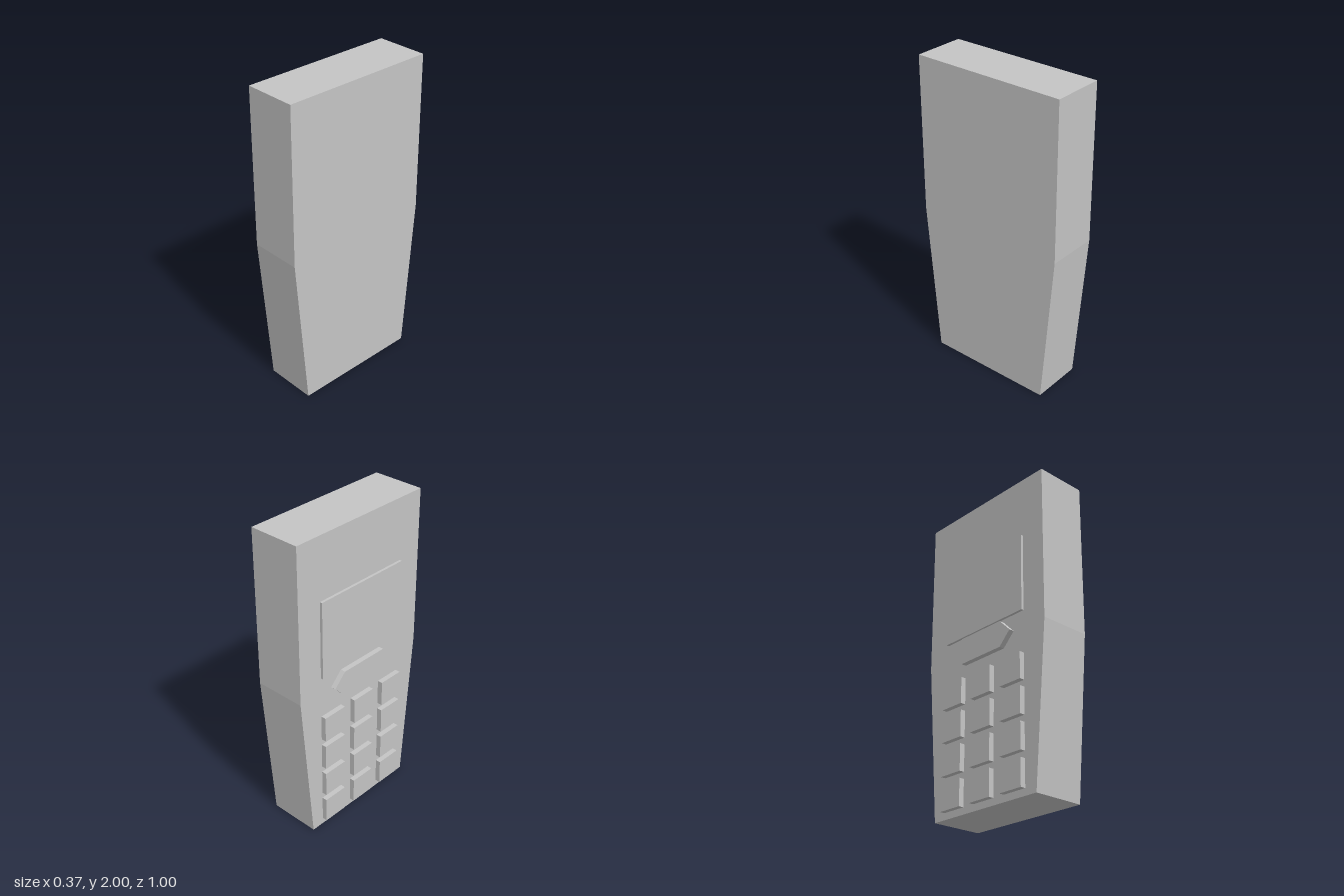
import * as THREE from 'three';

const FACE = -0.15; // x of the panel that carries the screen and keys

export function createModel() {
  const model = new THREE.Group();
  model.name = 'handset';

  const grey = new THREE.MeshStandardMaterial({ color: 0xc4c4c4 });
  grey.name = 'plain grey';

  // Extrudes a (z, y) outline towards -x, starting at the given x
  function slab(name, outline, startX, depth, parent = model) {
    const shape = new THREE.Shape(outline.map(([z, y]) => new THREE.Vector2(z, y)));
    const geometry = new THREE.ExtrudeGeometry(shape, { depth, bevelEnabled: false });
    geometry.rotateY(-Math.PI / 2);
    geometry.translate(startX, 0, 0);
    const mesh = new THREE.Mesh(geometry, grey);
    mesh.name = name;
    parent.add(mesh);
  }

  const rect = (z, y, w, h) => [[z - w / 2, y], [z + w / 2, y], [z + w / 2, y + h], [z - w / 2, y + h]];

  // Body: straight upper half, tapered lower half
  slab('body', [[-0.417, 0], [0.417, 0], [0.5, 1], [0.5, 2], [-0.5, 2], [-0.5, 1]], 0.1833, 0.3333);

  // Raised screen
  slab('screen', rect(0, 1.104, 0.667, 0.5), FACE, 0.0167);

  // Pointed navigation button
  slab('navigationButton', [
    [-0.25, 1], [-0.167, 0.917], [0.167, 0.917], [0.25, 1], [0.167, 1.083], [-0.167, 1.083],
  ], FACE, 0.0333);

  // Keypad: four rows of three square keys
  const keypad = new THREE.Group();
  keypad.name = 'keypad';
  model.add(keypad);
  for (let row = 0; row < 4; row++) {
    for (let col = -1; col <= 1; col++) {
      slab('key', rect(col * 0.25, 0.0425 + row * 0.2083, 0.1667, 0.1667), FACE, 0.0333, keypad);
    }
  }

  return model;
}
